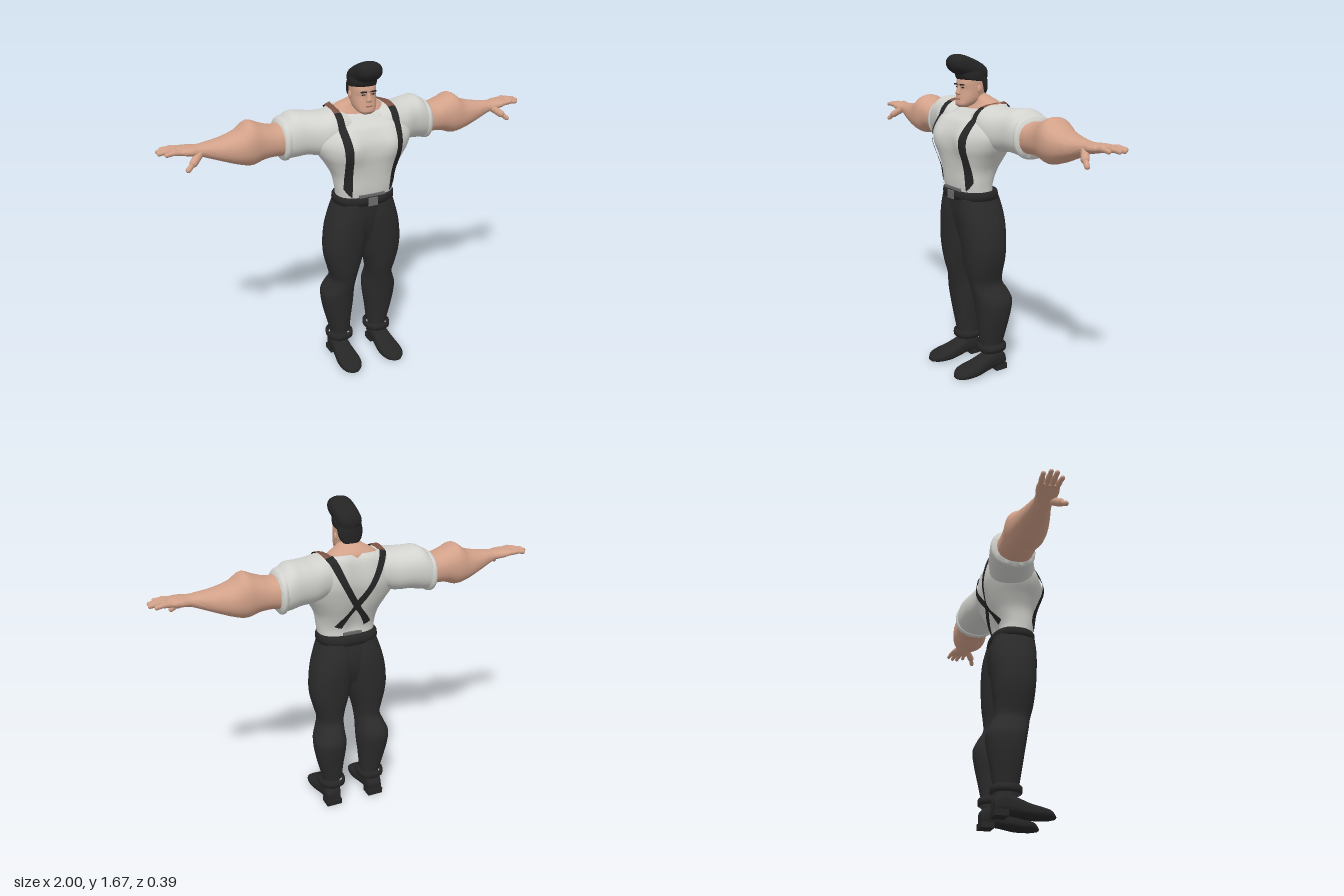
import * as THREE from 'three';
import { toCreasedNormals } from 'three/addons/utils/BufferGeometryUtils.js';

const material = (name, color, side = THREE.FrontSide) => {
  const m = new THREE.MeshStandardMaterial({ color, side });
  m.name = name;
  return m;
};

// Smooth slope-matched interpolation of section rows [t, aMin, aMax, bMin, bMax]
function sampleRows(rows, steps) {
  const out = [];
  const slope = (i, c) => {
    const p = rows[Math.max(i - 1, 0)], q = rows[Math.min(i + 1, rows.length - 1)];
    return (q[c] - p[c]) / (q[0] - p[0]);
  };
  for (let i = 0; i < rows.length - 1; i++) {
    const p = rows[i], q = rows[i + 1], h = q[0] - p[0];
    for (let k = 0; k < steps; k++) {
      const u = k / steps, u2 = u * u, u3 = u2 * u;
      out.push(p.map((v, c) => c === 0 ? v + h * u :
        (2 * u3 - 3 * u2 + 1) * v + (u3 - 2 * u2 + u) * h * slope(i, c) +
        (3 * u2 - 2 * u3) * q[c] + (u3 - u2) * h * slope(i + 1, c)));
    }
  }
  out.push(rows[rows.length - 1]);
  return out;
}

// Loft of rounded cross-sections along an axis; rows run in ascending t
function loft(axis, rows, { n = 2.3, side = 1, caps = true, steps = 5, segs = 36, deform } = {}) {
  const rings = sampleRows(rows, steps), pos = [], idx = [];
  const put = (t, a, b) => {
    const v = axis === 'x' ? new THREE.Vector3(t, a, b)
      : axis === 'y' ? new THREE.Vector3(a, t, b) : new THREE.Vector3(a, b, t);
    if (deform) deform(v);
    pos.push(v.x * side, v.y, v.z);
  };
  const pow = c => Math.sign(c) * Math.abs(c) ** (2 / n);
  for (const [t, a0, a1, b0, b1] of rings) {
    for (let j = 0; j < segs; j++) {
      const w = j / segs * Math.PI * 2;
      put(t, (a0 + a1) / 2 + (a1 - a0) / 2 * pow(Math.cos(w)), (b0 + b1) / 2 + (b1 - b0) / 2 * pow(Math.sin(w)));
    }
  }
  const flip = (axis === 'y') !== (side < 0);
  const tri = (a, b, c) => flip ? idx.push(a, c, b) : idx.push(a, b, c);
  for (let i = 0; i < rings.length - 1; i++) for (let j = 0; j < segs; j++) {
    const a = i * segs + j, b = i * segs + (j + 1) % segs;
    tri(a, b, b + segs);
    tri(a, b + segs, a + segs);
  }
  if (caps) for (const i of [0, rings.length - 1]) {
    const [t, a0, a1, b0, b1] = rings[i], c = pos.length / 3;
    put(t, (a0 + a1) / 2, (b0 + b1) / 2);
    for (let j = 0; j < segs; j++) {
      const a = i * segs + j, b = i * segs + (j + 1) % segs;
      i ? tri(a, b, c) : tri(b, a, c);
    }
  }
  const g = new THREE.BufferGeometry();
  g.setAttribute('position', new THREE.Float32BufferAttribute(pos, 3));
  g.setIndex(idx);
  return toCreasedNormals(g, 0.9);
}

export function createModel() {
  const model = new THREE.Group();
  const skin = material('skin', 0xd2a189), shirt = material('shirt white', 0xd2d2ce, THREE.DoubleSide);
  const trousers = material('trouser black', 0x2b2b2c), leather = material('leather black', 0x262626, THREE.DoubleSide);
  const hair = material('hair black', 0x242424), grey = material('buckle grey', 0x6c6c6c);
  const brown = material('strap brown', 0x7c5443, THREE.DoubleSide), lip = material('lip', 0xa8705f);
  const add = (name, geometry, mat) => {
    const m = new THREE.Mesh(geometry, mat);
    m.name = name;
    model.add(m);
    return m;
  };
  const box = (name, w, h, d, x, y, z, mat) => add(name, new THREE.BoxGeometry(w, h, d).translate(x, y, z), mat);
  const sym = ([y, w, b0, b1]) => [y, -w, w, b0, b1];
  const limb = (name, p, q, r, mat) => {
    const a = new THREE.Vector3(...p), b = new THREE.Vector3(...q), d = b.clone().sub(a);
    const g = new THREE.CapsuleGeometry(r, d.length(), 5, 12);
    g.applyQuaternion(new THREE.Quaternion().setFromUnitVectors(new THREE.Vector3(0, 1, 0), d.clone().normalize()));
    const mid = a.add(b).multiplyScalar(0.5);
    return add(name, g.translate(mid.x, mid.y, mid.z), mat);
  };

  // Shirt body with chest bulge, spine groove and a neckline that rises to the back
  const body = [add('shirtBody', loft('y', [
    [0.97, 0.148, -0.06, 0.125], [1.03, 0.155, -0.06, 0.135], [1.1, 0.168, -0.085, 0.142], [1.16, 0.2, -0.11, 0.15],
    [1.22, 0.24, -0.13, 0.158], [1.28, 0.262, -0.145, 0.152], [1.34, 0.25, -0.145, 0.122],
    [1.385, 0.215, -0.135, 0.085], [1.415, 0.165, -0.115, 0.045]].map(sym), {
    n: 2.5, segs: 64, deform: v => {
      const x = Math.abs(v.x);
      if (v.z > 0.03) v.z += 0.02 * Math.exp(-(((x - 0.11) / 0.05) ** 2) - ((v.y - 1.26) / 0.08) ** 2);
      if (v.z < -0.05) v.z += 0.014 * Math.exp(-((x / 0.035) ** 2));
      v.y -= (v.z + 0.03) * 0.22 * THREE.MathUtils.smoothstep(v.y, 1.34, 1.41);
    }
  }), shirt)];

  // Bare upper shoulders and neck
  body.push(add('neck', loft('y', [
    [1.37, 0.15, -0.115, 0.055], [1.41, 0.14, -0.115, 0.035], [1.435, 0.11, -0.105, 0.025],
    [1.455, 0.072, -0.08, 0.028], [1.475, 0.052, -0.052, 0.035], [1.53, 0.048, -0.045, 0.04]].map(sym)), skin));

  for (const s of [1, -1]) {
    const p = s > 0 ? 'left' : 'right';
    // Sleeve and rolled hem
    body.push(add(p + 'Sleeve', loft('x', [
      [0.08, 1.24, 1.405, -0.12, 0.09], [0.15, 1.22, 1.425, -0.138, 0.1], [0.22, 1.205, 1.418, -0.16, 0.09],
      [0.29, 1.208, 1.422, -0.175, 0.06], [0.345, 1.2, 1.423, -0.185, 0.045], [0.392, 1.196, 1.39, -0.185, 0.032]],
    { side: s }), shirt));
    add(p + 'SleeveHem', loft('x', [[0.378, 1.195, 1.402, -0.188, 0.036], [0.385, 1.189, 1.402, -0.193, 0.039],
      [0.4, 1.189, 1.393, -0.193, 0.036], [0.407, 1.198, 1.385, -0.184, 0.028]], { side: s, steps: 2 }), shirt);
    // Muscular arm down to the palm
    add(p + 'Arm', loft('x', [
      [0.37, 1.21, 1.375, -0.17, 0.02], [0.44, 1.218, 1.37, -0.163, 0.02], [0.5, 1.212, 1.388, -0.163, 0.022],
      [0.56, 1.194, 1.409, -0.168, 0.03], [0.62, 1.207, 1.37, -0.158, 0.026], [0.7, 1.237, 1.347, -0.132, 0.01],
      [0.77, 1.265, 1.338, -0.107, -0.008], [0.81, 1.281, 1.333, -0.1, -0.01], [0.85, 1.289, 1.335, -0.111, -0.002],
      [0.89, 1.298, 1.335, -0.115, -0.008], [0.91, 1.304, 1.33, -0.108, -0.018]], { side: s }), skin);
    // Fingers and thumb
    [[-0.1, -0.112, 0.965], [-0.075, -0.083, 0.988], [-0.05, -0.054, 0.987], [-0.024, -0.02, 0.96]].forEach(([z0, z1, x], i) => {
      limb(p + 'Finger' + (i + 1), [0.895 * s, 1.317, z0], [(x - 0.035) * s, 1.321, (z0 + z1) / 2], 0.0135, skin);
      limb(p + 'FingerTip' + (i + 1), [(x - 0.035) * s, 1.321, (z0 + z1) / 2], [x * s, 1.317, z1], 0.011, skin);
    });
    limb(p + 'ThumbBase', [0.81 * s, 1.3, -0.025], [0.85 * s, 1.27, 0.008], 0.019, skin);
    limb(p + 'Thumb', [0.85 * s, 1.27, 0.008], [0.88 * s, 1.246, 0.022], 0.0125, skin);

    // Trouser leg
    add(p + 'Leg', loft('y', [
      [0.155, 0.062, 0.166, -0.098, 0.028], [0.25, 0.053, 0.19, -0.116, 0.042], [0.33, 0.043, 0.206, -0.132, 0.054],
      [0.4, 0.04, 0.209, -0.14, 0.066], [0.45, 0.043, 0.19, -0.12, 0.077], [0.5, 0.04, 0.174, -0.092, 0.087],
      [0.56, 0.028, 0.187, -0.092, 0.102], [0.63, 0.008, 0.205, -0.1, 0.113], [0.7, -0.008, 0.211, -0.105, 0.121],
      [0.8, -0.025, 0.2, -0.11, 0.13], [0.88, -0.03, 0.178, -0.106, 0.135], [0.955, -0.02, 0.152, -0.09, 0.132]],
    { side: s }), trousers);
    add(p + 'Ankle', loft('y', [[0.07, 0.08, 0.165, -0.09, 0.015], [0.17, 0.07, 0.16, -0.092, 0.018]], { side: s }), trousers);
    // Loose trouser cuff
    add(p + 'Cuff', loft('y', [[0.112, 0.052, 0.18, -0.104, 0.034], [0.118, 0.044, 0.187, -0.111, 0.041],
      [0.145, 0.044, 0.187, -0.111, 0.041], [0.153, 0.052, 0.18, -0.104, 0.034]],
    { side: s, caps: false, steps: 2 }), leather);
    // Shoe with heel block
    add(p + 'Shoe', loft('z', [
      [-0.1, 0.088, 0.16, 0.015, 0.085], [-0.07, 0.078, 0.168, 0.012, 0.112], [-0.02, 0.076, 0.17, 0.012, 0.11],
      [0.03, 0.072, 0.176, 0.006, 0.088], [0.08, 0.066, 0.184, 0, 0.068], [0.13, 0.066, 0.186, 0, 0.056],
      [0.175, 0.08, 0.176, 0.002, 0.042], [0.2, 0.108, 0.15, 0.006, 0.02]], { side: s, n: 2.9 }), leather);
    box(p + 'Heel', 0.086, 0.03, 0.068, 0.124 * s, 0.015, -0.07, leather);

    // Ear, brow and eye
    add(p + 'Ear', new THREE.SphereGeometry(1, 14, 10).scale(0.008, 0.02, 0.013).translate(0.062 * s, 1.495, 0.01), skin);
    box(p + 'Brow', 0.03, 0.006, 0.008, 0.025 * s, 1.518, 0.088, hair);
    box(p + 'Eye', 0.016, 0.005, 0.006, 0.025 * s, 1.504, 0.084, hair);
  }

  // Hips, belt, buckle and waist tabs
  add('hips', loft('y', [[0.72, 0.08, -0.07, 0.085], [0.8, 0.14, -0.095, 0.11], [0.88, 0.165, -0.1, 0.126],
    [0.96, 0.154, -0.088, 0.134]].map(sym)), trousers);
  add('belt', loft('y', [[0.945, 0.154, -0.09, 0.134], [0.95, 0.16, -0.096, 0.14], [0.985, 0.159, -0.092, 0.14],
    [0.992, 0.153, -0.086, 0.134]].map(sym), { steps: 2, n: 2.5 }), leather);
  box('buckle', 0.05, 0.042, 0.009, 0, 0.968, 0.142, grey);
  box('frontTab', 0.14, 0.014, 0.012, 0, 1.0, 0.13, grey);
  box('backTab', 0.1, 0.014, 0.012, 0, 1.0, -0.056, grey);

  // Braces: ribbons wrapped over the torso, crossing at the back
  model.updateMatrixWorld(true);
  const keys = [[-65, 0.122], [0, 0.138], [40, 0.148], [90, 0.147], [120, 0.14], [180, 0.05], [225, -0.012], [254, -0.08]];
  const pathX = deg => {
    const i = Math.max(1, keys.findIndex(k => k[0] >= deg)), [a, xa] = keys[i - 1], [b, xb] = keys[i];
    return xa + (xb - xa) * (deg - a) / (b - a);
  };
  const ray = new THREE.Raycaster();
  function strap(name, from, to, s, mat) {
    const pos = [], idx = [], count = Math.round((to - from) / 4);
    for (let i = 0; i <= count; i++) {
      const deg = from + (to - from) * i / count, w = deg * Math.PI / 180;
      const out = new THREE.Vector3(0, Math.sin(w), Math.cos(w));
      for (const e of [-0.019, 0, 0.019]) {
        const centre = new THREE.Vector3(s * pathX(deg) + e, 1.25, 0);
        ray.set(centre.clone().addScaledVector(out, 1), out.clone().negate());
        const hit = ray.intersectObjects(body)[0];
        const p = (hit ? hit.point : centre.addScaledVector(out, 0.16)).addScaledVector(out, s > 0 ? 0.007 : 0.01);
        pos.push(p.x, p.y, p.z);
      }
      if (i) for (const k of [0, 1]) {
        const a = (i - 1) * 3 + k;
        idx.push(a, a + 1, a + 4, a, a + 4, a + 3);
      }
    }
    const g = new THREE.BufferGeometry();
    g.setAttribute('position', new THREE.Float32BufferAttribute(pos, 3));
    g.setIndex(idx);
    g.computeVertexNormals();
    add(name, g, mat);
  }
  for (const s of [1, -1]) {
    const p = s > 0 ? 'left' : 'right';
    strap(p + 'FrontBrace', -65, 74, s, leather);
    strap(p + 'ShoulderBrace', 74, 118, s, brown);
    strap(p + 'BackBrace', 118, 254, s, leather);
  }

  // Head with strong jaw, nose and mouth
  add('head', loft('y', [
    [1.407, 0.026, 0.045, 0.088], [1.418, 0.042, 0.02, 0.098], [1.44, 0.055, -0.02, 0.096], [1.465, 0.06, -0.042, 0.092],
    [1.5, 0.062, -0.05, 0.087], [1.518, 0.062, -0.052, 0.091], [1.55, 0.06, -0.052, 0.083], [1.575, 0.045, -0.04, 0.06]].map(sym),
  { n: 2.5 }), skin);
  add('nose', loft('y', [[1.466, 0.01, 0.07, 0.095], [1.473, 0.015, 0.07, 0.107], [1.485, 0.011, 0.07, 0.106],
    [1.512, 0.008, 0.07, 0.093]].map(sym), { steps: 3, segs: 16 }), skin);
  box('mouth', 0.034, 0.006, 0.008, 0, 1.447, 0.093, lip);

  // Hair: cropped back and sides under a tall swept-up quiff
  add('napeHair', loft('y', [[1.47, 0.04, -0.056, -0.02], [1.49, 0.056, -0.058, -0.008], [1.53, 0.064, -0.058, 0.01],
    [1.56, 0.06, -0.056, 0.03]].map(sym)), hair);
  add('scalpHair', loft('y', [[1.535, 0.062, -0.056, 0.07], [1.545, 0.065, -0.058, 0.088], [1.575, 0.064, -0.058, 0.1],
    [1.6, 0.055, -0.05, 0.1]].map(sym), { n: 2.5 }), hair);
  add('quiff', loft('z', [
    [-0.058, -0.03, 0.03, 1.55, 1.585], [-0.048, -0.05, 0.05, 1.53, 1.606], [-0.02, -0.061, 0.061, 1.52, 1.625],
    [0.03, -0.063, 0.063, 1.54, 1.648], [0.08, -0.063, 0.063, 1.558, 1.664], [0.115, -0.059, 0.059, 1.575, 1.664],
    [0.136, -0.045, 0.045, 1.592, 1.652], [0.145, -0.02, 0.02, 1.61, 1.637]]), hair);

  return model;
}
